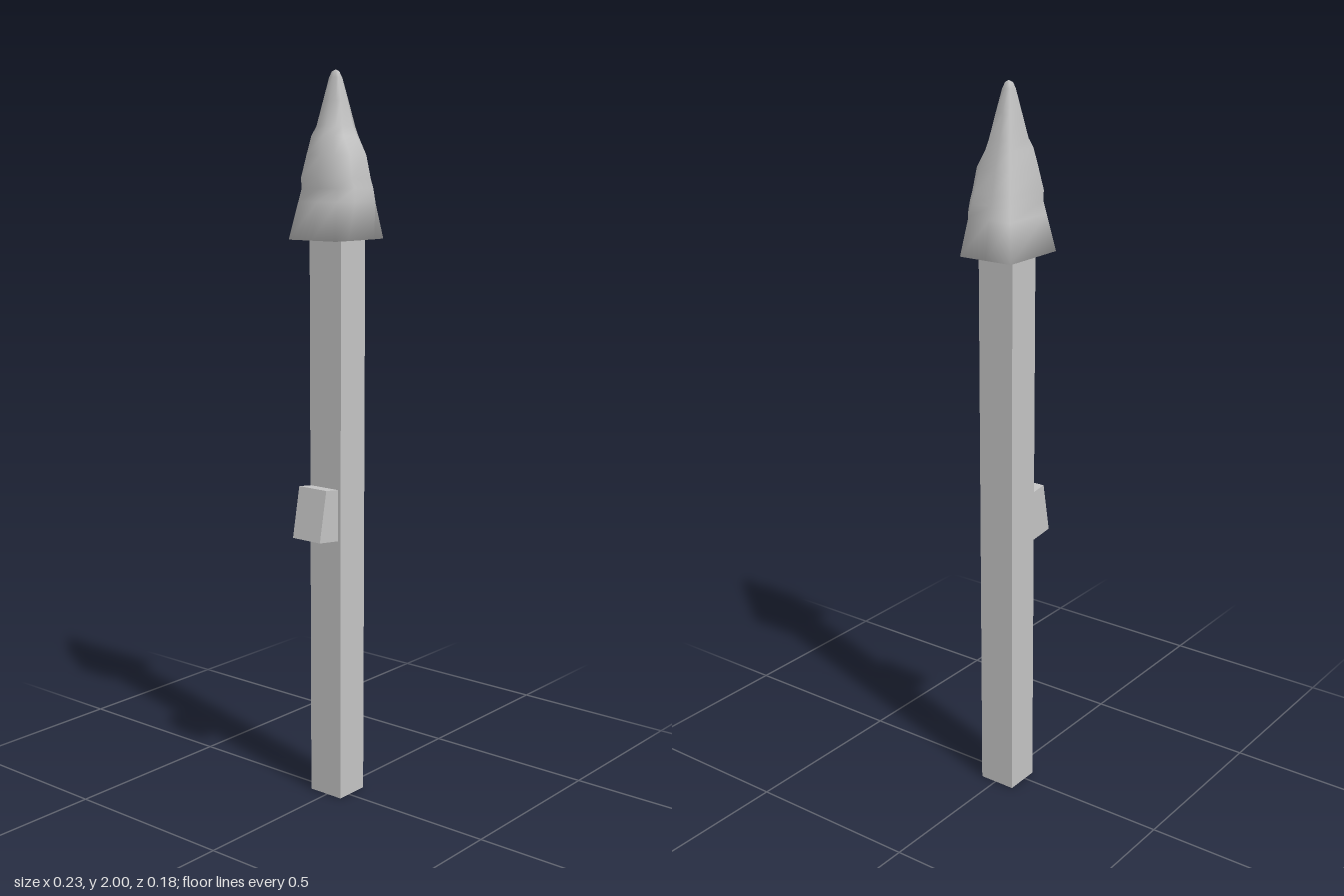
import * as THREE from 'three';

const gray = new THREE.MeshStandardMaterial({ color: 0xc4c4c4 });
gray.name = 'gray';

function add(group, geometry, name) {
  const mesh = new THREE.Mesh(geometry, gray);
  mesh.name = name;
  group.add(mesh);
  return mesh;
}

// Lofted, lopsided point: each row is [y, left, right, back, front corner, front middle]
function tipGeometry() {
  const rows = [
    [1.56, -0.087, 0.113, -0.09, 0.072, 0.077],
    [1.66, -0.067, 0.092, -0.073, 0.06, 0.09],
    [1.695, -0.06, 0.084, -0.067, 0.054, 0.086],
    [1.72, -0.068, 0.079, -0.063, 0.05, 0.082],
    [1.78, -0.057, 0.066, -0.053, 0.042, 0.073],
    [1.83, -0.046, 0.055, -0.045, 0.032, 0.045],
    [1.855, -0.03, 0.05, -0.041, 0.025, 0.032],
    [1.92, -0.015, 0.036, -0.031, 0.014, 0.019],
    [1.98, -0.002, 0.023, -0.021, 0.003, 0.006],
    [1.995, 0.003, 0.017, -0.016, -0.002, 0.001],
  ];
  const sides = 8, pos = [], idx = [];
  for (const [y, l, r, b, fc, fm] of rows) {
    const mid = (l + r) / 2, half = (r - l) * 0.27;
    const ring = [
      [l, b], [l, (b + fc) / 2], [l, fc], [mid - half, fm],
      [mid + half, fm], [r, fc], [r, (b + fc) / 2], [r, b],
    ];
    for (const [x, z] of ring) pos.push(x, y, z);
  }
  for (let k = 0; k < rows.length - 1; k++) {
    for (let i = 0; i < sides; i++) {
      const a = k * sides + i, b = k * sides + (i + 1) % sides;
      idx.push(a, b, b + sides, a, b + sides, a + sides);
    }
  }
  // Base and apex share the ring vertices, so the shading rolls over the rims
  const base = rows.length * sides, apex = base + 1, last = base - sides;
  pos.push(0.013, 1.56, -0.007, 0.01, 2, -0.008);
  for (let i = 0; i < sides; i++) {
    const j = (i + 1) % sides;
    idx.push(base, j, i, apex, last + i, last + j);
  }
  const g = new THREE.BufferGeometry();
  g.setAttribute('position', new THREE.Float32BufferAttribute(pos, 3));
  g.setIndex(idx);
  g.computeVertexNormals();
  return g;
}

export function createModel() {
  const model = new THREE.Group();
  model.name = 'pointedPost';

  // Square post
  add(model, new THREE.BoxGeometry(0.102, 1.56, 0.108), 'post')
    .position.set(0.013, 0.78, -0.005);

  // Slanted peg on the side
  const outline = new THREE.Shape([
    [-0.115, 0.755], [-0.03, 0.745], [-0.03, 0.888], [-0.088, 0.895],
  ].map(([x, y]) => new THREE.Vector2(x, y)));
  add(model, new THREE.ExtrudeGeometry(outline, { depth: 0.096, bevelEnabled: false }), 'peg')
    .position.z = -0.056;

  // Pointed head
  add(model, tipGeometry(), 'head');
  return model;
}
